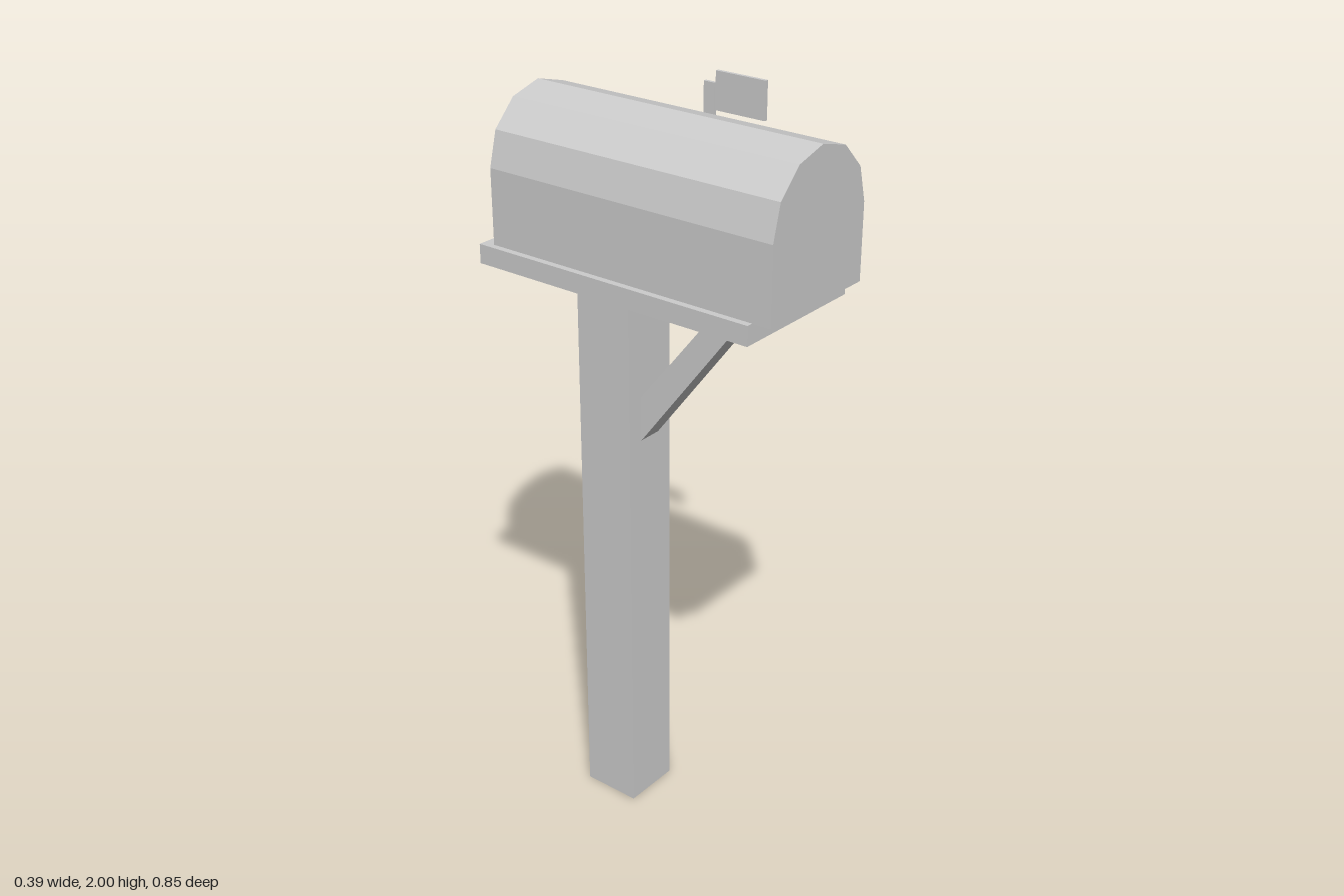
import * as THREE from 'three';

export function createModel() {
  const model = new THREE.Group();
  const grey = new THREE.MeshStandardMaterial({ color: 0xcccccc, flatShading: true, side: THREE.DoubleSide });
  grey.name = 'plain grey';

  const add = (name, geometry) => {
    const mesh = new THREE.Mesh(geometry, grey);
    mesh.name = name;
    model.add(mesh);
    return mesh;
  };

  // Box given by its minimum and maximum along each axis
  const block = (name, [x0, x1], [y0, y1], [z0, z1]) => {
    const geometry = new THREE.BoxGeometry(x1 - x0, y1 - y0, z1 - z0);
    geometry.translate((x0 + x1) / 2, (y0 + y1) / 2, (z0 + z1) / 2);
    return add(name, geometry);
  };

  const extrude = (points, depth) =>
    new THREE.ExtrudeGeometry(new THREE.Shape(points), { depth, bevelEnabled: false });

  // Square post, hollow and open at the foot
  const post = new THREE.CylinderGeometry(0.08 * Math.SQRT2, 0.08 * Math.SQRT2, 1.535, 4, 1, true);
  post.rotateY(Math.PI / 4);
  post.translate(-0.004, 1.535 / 2, -0.135);
  add('post', post);

  // Board under the box
  block('baseBoard', [-0.197, 0.19], [1.535, 1.585], [-0.427, 0.378]);

  // Diagonal brace: side profile in (-z, y), extruded across x
  const brace = extrude([[-0.245, 1.5], [0.055, 1.103], [0.055, 1.222], [-0.193, 1.536]]
    .map(([u, v]) => new THREE.Vector2(u, v)), 0.066);
  brace.rotateY(Math.PI / 2);
  brace.translate(-0.037, 0, 0);
  add('brace', brace);

  // Mailbox body: straight sides under a six-sided arch
  const radius = 0.177;
  const outline = [new THREE.Vector2(-radius, 1.585), new THREE.Vector2(radius, 1.585)];
  for (let i = 0; i <= 6; i++) {
    const a = (i * Math.PI) / 6;
    outline.push(new THREE.Vector2(Math.cos(a) * radius, 1.778 + Math.sin(a) * radius));
  }
  const body = extrude(outline, 0.822);
  body.translate(-0.003, 0, -0.395);
  add('mailboxBody', body);

  // Signal flag on the left side
  block('flagArm', [0.186, 0.195], [1.778, 1.97], [-0.04, -0.009]);
  block('flagPlate', [0.186, 0.195], [1.905, 2.0], [-0.005, 0.138]);

  return model;
}
